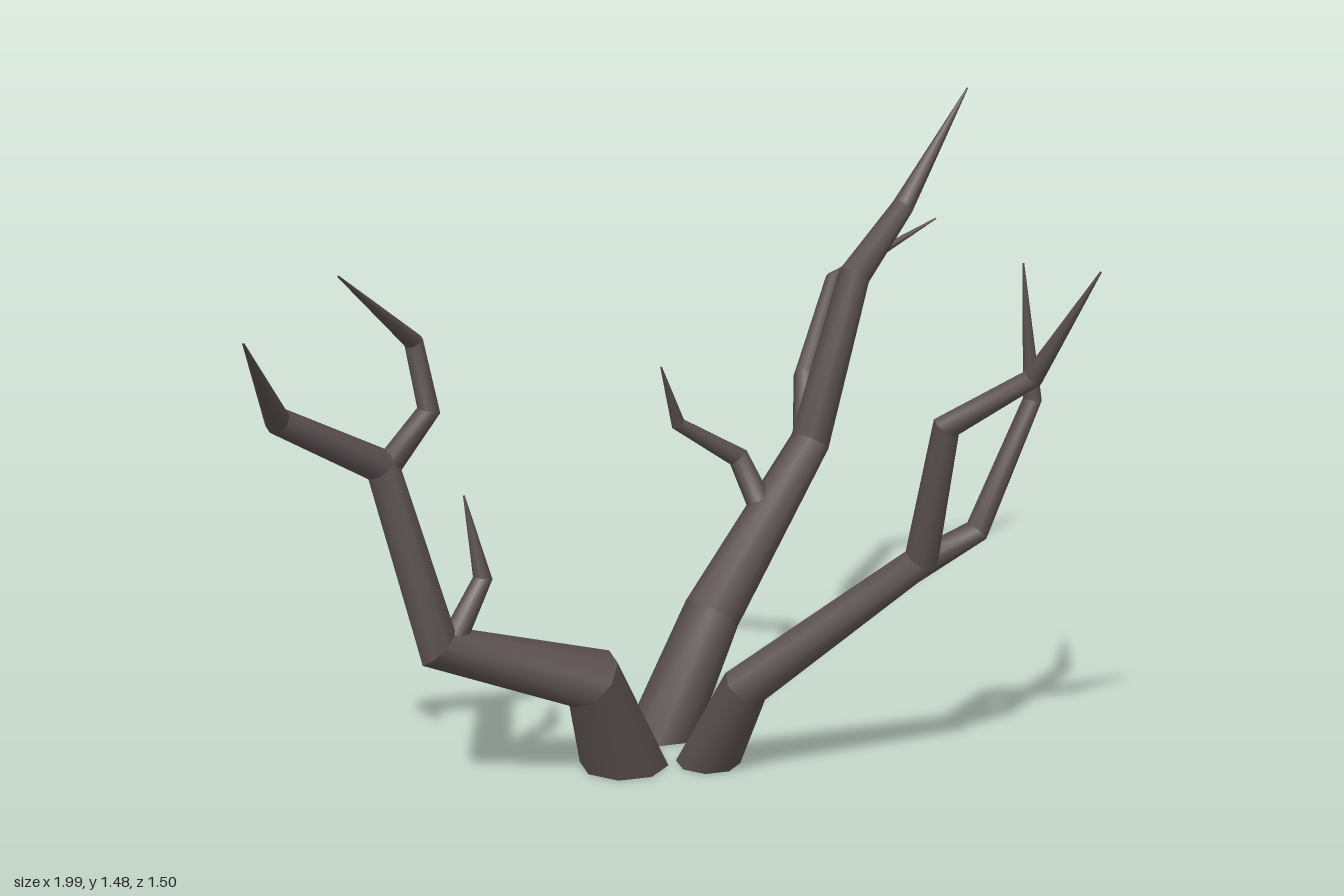
import * as THREE from 'three';

const SIDES = 8;

// Tapered limb through points [x, y, z, radius]; crisp at the kinks, smooth around.
function limbGeometry(path, grounded) {
  const pts = path.map(([x, y, z]) => new THREE.Vector3(x, y, z));
  const dirs = pts.slice(1).map((p, i) => p.clone().sub(pts[i]).normalize());
  const last = pts.length - 1;
  const u = new THREE.Vector3(1, 0, 0);
  let prev = new THREE.Vector3(0, 1, 0);
  const rings = pts.map((p, i) => {
    // Each ring lies in the mitre plane of its joint; a grounded base is level
    const n = i === 0 ? (grounded ? new THREE.Vector3(0, 1, 0) : dirs[0].clone())
      : i === last ? dirs[last - 1].clone()
        : dirs[i - 1].clone().add(dirs[i]).normalize();
    u.applyQuaternion(new THREE.Quaternion().setFromUnitVectors(prev, n));
    prev = n;
    const v = n.clone().cross(u);
    return Array.from({ length: SIDES }, (_, j) => {
      const a = (j + 0.5) / SIDES * Math.PI * 2;
      return p.clone().addScaledVector(u, Math.cos(a) * path[i][3]).addScaledVector(v, Math.sin(a) * path[i][3]);
    });
  });

  const pos = [], index = [];
  const add = (ring) => ring.forEach((p) => pos.push(p.x, p.y, p.z));
  for (let i = 0; i < last; i++) {
    const s = pos.length / 3;
    add(rings[i]);
    add(rings[i + 1]);
    for (let j = 0; j < SIDES; j++) {
      const a = s + j, b = s + (j + 1) % SIDES;
      index.push(a, b, b + SIDES, a, b + SIDES, a + SIDES);
    }
  }
  // Cut face at the foot
  const s = pos.length / 3;
  add(rings[0]);
  for (let j = 1; j < SIDES - 1; j++) index.push(s, s + j + 1, s + j);

  const geo = new THREE.BufferGeometry();
  geo.setAttribute('position', new THREE.Float32BufferAttribute(pos, 3));
  geo.setIndex(index);
  geo.computeVertexNormals();
  return geo;
}

const TIP = 0.002;
const BRANCHES = {
  rightBranch: {
    trunk: [[-0.11, 0, 0.08, 0.105], [-0.21, 0.255, 0.175, 0.076], [-0.565, 0.37, 0.18, 0.056],
      [-0.67, 0.78, 0.13, 0.042], [-0.905, 0.92, 0.215, 0.03], [-1, 1.15, 0.48, TIP]],
    upperFork: [[-0.665, 0.77, 0.13, 0.03], [-0.565, 0.9, 0.135, 0.026],
      [-0.59, 1.05, 0.11, 0.022], [-0.78, 1.24, 0.3, TIP]],
    twig: [[-0.54, 0.37, 0.19, 0.03], [-0.455, 0.51, 0.15, 0.022], [-0.49, 0.7, 0.13, TIP]],
  },
  backBranch: {
    trunk: [[0.03, 0, -0.083, 0.088], [0.16, 0.29, -0.095, 0.07], [0.51, 0.62, -0.385, 0.05],
      [0.62, 1.04, -0.385, 0.04], [0.8, 1.185, -0.52, 0.028], [0.98, 1.48, -0.545, TIP]],
    outerFork: [[0.5, 0.61, -0.38, 0.036], [0.54, 0.76, -0.51, 0.03],
      [0.68, 0.97, -0.695, 0.022], [0.99, 1.11, -0.75, TIP]],
    twig: [[0.35, 0.47, -0.25, 0.034], [0.3, 0.61, -0.325, 0.027],
      [0.14, 0.71, -0.315, 0.018], [0.08, 0.87, -0.26, TIP]],
  },
  frontBranch: {
    trunk: [[0.083, 0, 0.125, 0.076], [0.13, 0.23, 0.255, 0.056], [0.475, 0.56, 0.445, 0.04],
      [0.495, 0.88, 0.515, 0.032], [0.65, 1, 0.61, 0.023], [0.73, 1.25, 0.745, TIP]],
    outerFork: [[0.46, 0.54, 0.435, 0.034], [0.615, 0.61, 0.425, 0.028],
      [0.745, 0.9, 0.41, 0.021], [0.71, 1.21, 0.41, TIP]],
  },
};

export function createModel() {
  const model = new THREE.Group();
  model.name = 'bareBranches';
  const bark = new THREE.MeshStandardMaterial({ color: 0x5a4f50 });
  bark.name = 'dark bark';

  for (const [branchName, limbs] of Object.entries(BRANCHES)) {
    const branch = new THREE.Group();
    branch.name = branchName;
    for (const [limbName, path] of Object.entries(limbs)) {
      const limb = new THREE.Mesh(limbGeometry(path, limbName === 'trunk'), bark);
      limb.name = limbName;
      branch.add(limb);
    }
    model.add(branch);
  }
  return model;
}
